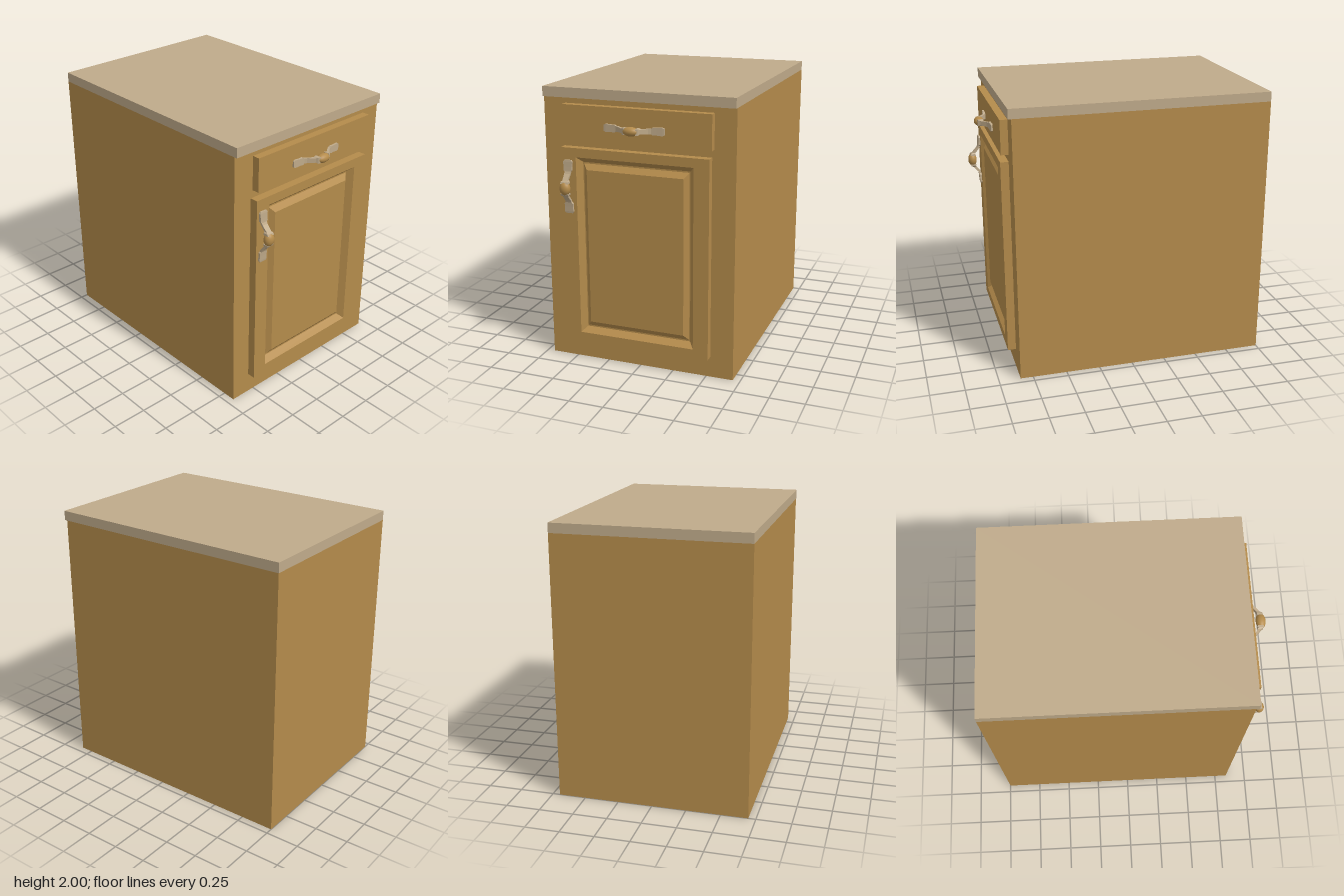
import * as THREE from 'three';

const wood = new THREE.MeshStandardMaterial({ color: 0xb48b4b });
wood.name = 'wood';
const stone = new THREE.MeshStandardMaterial({ color: 0xbfaa8a });
stone.name = 'paleStone';

function add(parent, name, geometry, material) {
  const mesh = new THREE.Mesh(geometry, material);
  mesh.name = name;
  parent.add(mesh);
  return mesh;
}

// Box given by its limits on each axis
function block(parent, name, material, [x0, x1], [y0, y1], [z0, z1]) {
  const g = new THREE.BoxGeometry(x1 - x0, y1 - y0, z1 - z0);
  g.translate((x0 + x1) / 2, (y0 + y1) / 2, (z0 + z1) / 2);
  return add(parent, name, g, material);
}

// Flat-faced skin through four-cornered rings, closed at both ends
function loft(rings) {
  const pos = [];
  const quad = (a, b, c, d) => pos.push(...a, ...b, ...c, ...a, ...c, ...d);
  for (let r = 0; r < rings.length - 1; r++) {
    const A = rings[r], B = rings[r + 1];
    for (let i = 0; i < 4; i++) {
      const j = (i + 1) % 4;
      quad(A[i], A[j], B[j], B[i]);
    }
  }
  const first = rings[0], last = rings[rings.length - 1];
  quad(first[3], first[2], first[1], first[0]);
  quad(last[0], last[1], last[2], last[3]);
  const g = new THREE.BufferGeometry();
  g.setAttribute('position', new THREE.Float32BufferAttribute(pos, 3));
  g.computeVertexNormals();
  return g;
}

const faceRing = ([x0, x1, y0, y1, z]) => [[x0, y0, z], [x1, y0, z], [x1, y1, z], [x0, y1, z]];
const armRing = ([x, z, w, t]) => [[x, -w, z - t], [x, w, z - t], [x, w, z + t], [x, -w, z + t]];

// Handle lying along x: two bent arms with flat feet and a wooden bead
function makeHandle(name) {
  const handle = new THREE.Group();
  handle.name = name;
  const arm = loft([
    // distance from centre, height, half width, half thickness
    [0.040, 0.062, 0.023, 0.022],
    [0.056, 0.060, 0.022, 0.018],
    [0.066, 0.052, 0.016, 0.012],
    [0.110, 0.018, 0.018, 0.009],
    [0.128, 0.010, 0.019, 0.009],
    [0.138, 0.009, 0.026, 0.009],
    [0.165, 0.008, 0.025, 0.008],
    [0.205, 0.007, 0.028, 0.007],
    [0.220, 0.006, 0.021, 0.006],
  ].map(armRing));
  add(handle, 'handleArm', arm, stone);
  add(handle, 'handleArmOpposite', arm, stone).rotation.z = Math.PI;
  const bead = new THREE.SphereGeometry(1, 20, 14);
  bead.rotateZ(Math.PI / 2);
  bead.scale(0.056, 0.032, 0.034);
  bead.translate(0, 0, 0.066);
  add(handle, 'handleBead', bead, wood);
  return handle;
}

export function createModel() {
  const model = new THREE.Group();
  model.name = 'baseCabinet';

  // Carcass and worktop
  block(model, 'carcass', wood, [-0.697, 0.697], [0, 1.93], [-1, 0.843]);
  block(model, 'worktop', stone, [-0.697, 0.697], [1.93, 2], [-1, 0.865]);

  // Drawer front
  block(model, 'drawerFront', wood, [-0.535, 0.545], [1.645, 1.89], [0.843, 0.897]);

  // Door with a bevelled groove around its raised panel
  const door = loft([
    [-0.55, 0.53, 0.152, 1.59, 0.843],
    [-0.55, 0.53, 0.152, 1.59, 0.902],
    [-0.44, 0.42, 0.217, 1.525, 0.902],
    [-0.405, 0.385, 0.254, 1.487, 0.858],
    [-0.398, 0.378, 0.264, 1.477, 0.858],
    [-0.365, 0.345, 0.305, 1.438, 0.890],
  ].map(faceRing));
  add(model, 'door', door, wood);

  // Handles
  const drawerHandle = makeHandle('drawerHandle');
  drawerHandle.position.set(0, 1.75, 0.897);
  drawerHandle.scale.z = 1.03;
  const doorHandle = makeHandle('doorHandle');
  doorHandle.position.set(-0.497, 1.313, 0.902);
  doorHandle.rotation.z = Math.PI / 2;
  doorHandle.scale.set(0.87, 1.22, 0.98);
  model.add(drawerHandle, doorHandle);

  return model;
}
